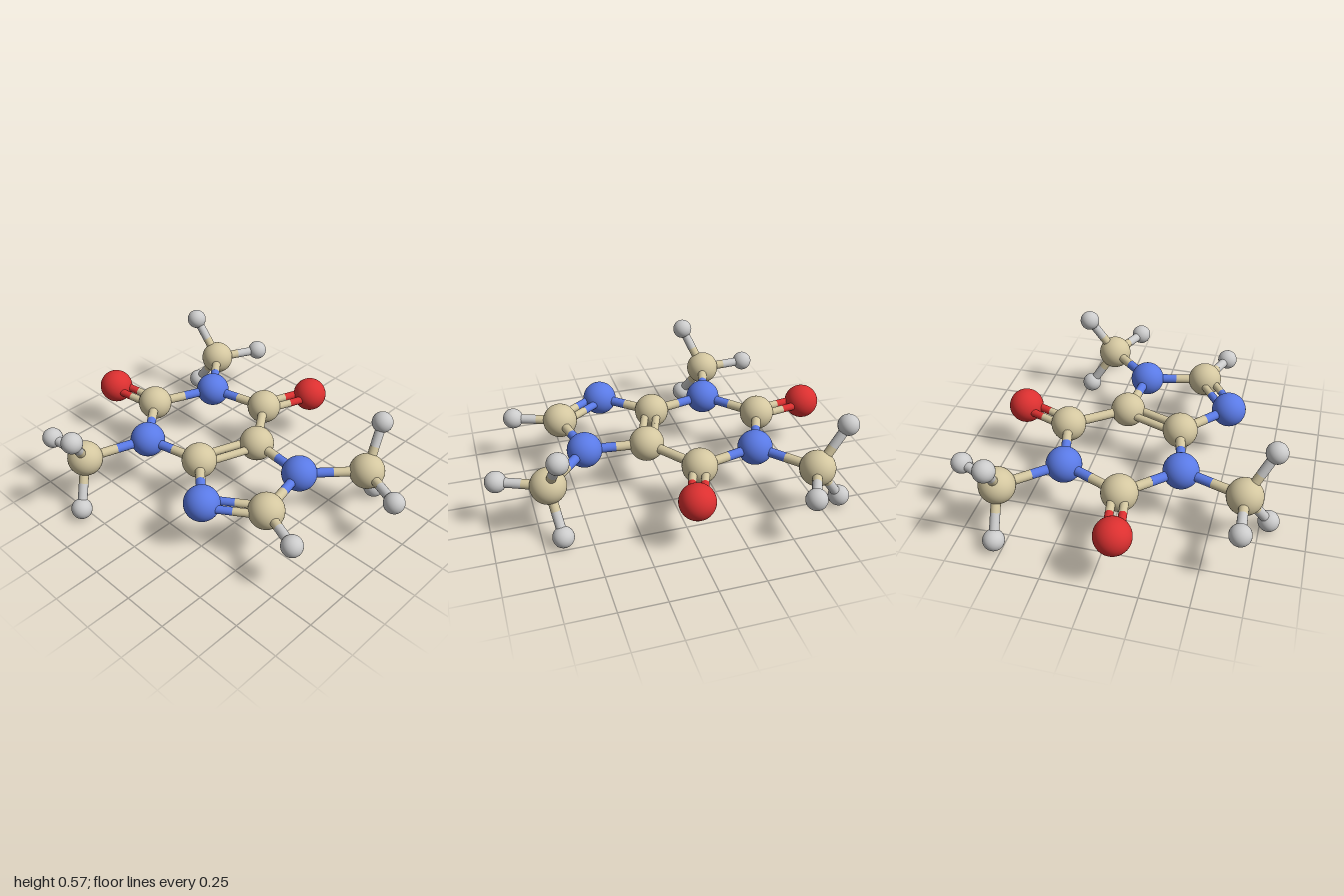
import * as THREE from 'three';

const MID = 0.285;   // height of the flat ring plane
const LIFT = 0.226;  // out-of-plane offset of the paired hydrogens

const ELEMENTS = {
  carbon: { color: 0xd4c7a0, radius: 0.096 },
  nitrogen: { color: 0x5a7ae6, radius: 0.096 },
  oxygen: { color: 0xdc3030, radius: 0.096 },
  hydrogen: { color: 0xcccccc, radius: 0.057 },
};

// name: [element, x, z, offset from the ring plane]
const ATOMS = {
  ringN1: ['nitrogen', -0.455, -0.283],
  ringC2: ['carbon', -0.6, 0.055],
  ringN3: ['nitrogen', -0.36, 0.32],
  ringC4: ['carbon', -0.02, 0.247],
  ringC5: ['carbon', 0.1, -0.08],
  ringC6: ['carbon', -0.11, -0.367],
  ringN7: ['nitrogen', 0.44, -0.047],
  ringC8: ['carbon', 0.512, 0.29],
  ringN9: ['nitrogen', 0.238, 0.477],
  oxygenSide: ['oxygen', -0.904, 0.102],
  oxygenBack: ['oxygen', 0, -0.655],
  ringHydrogen: ['hydrogen', 0.767, 0.387],
  methylBack: ['carbon', -0.695, -0.56],
  methylFront: ['carbon', -0.477, 0.668],
  methylLeft: ['carbon', 0.685, -0.315],
};

// [from, to, order]
const BONDS = [
  ['ringN1', 'ringC2', 1], ['ringC2', 'ringN3', 1], ['ringN3', 'ringC4', 1],
  ['ringC4', 'ringC5', 2], ['ringC5', 'ringC6', 1], ['ringC6', 'ringN1', 1],
  ['ringC5', 'ringN7', 1], ['ringN7', 'ringC8', 1], ['ringC8', 'ringN9', 2],
  ['ringN9', 'ringC4', 1], ['ringC2', 'oxygenSide', 2], ['ringC6', 'oxygenBack', 2],
  ['ringC8', 'ringHydrogen', 1], ['ringN1', 'methylBack', 1],
  ['ringN3', 'methylFront', 1], ['ringN7', 'methylLeft', 1],
];

// Each methyl group: one hydrogen in the plane, a mirrored pair above and below
const METHYLS = [
  ['methylBack', [-0.573, -0.805], [-0.855, -0.538]],
  ['methylFront', [-0.753, 0.684], [-0.381, 0.795]],
  ['methylLeft', [0.938, -0.206], [0.648, -0.463]],
];
for (const [name, flat, pair] of METHYLS) {
  const hydrogens = { Flat: [...flat, 0], Upper: [...pair, LIFT], Lower: [...pair, -LIFT] };
  for (const [suffix, place] of Object.entries(hydrogens)) {
    ATOMS[name + 'Hydrogen' + suffix] = ['hydrogen', ...place];
    BONDS.push([name, name + 'Hydrogen' + suffix, 1]);
  }
}

export function createModel() {
  const model = new THREE.Group();
  model.name = 'ballAndStickMolecule';
  const materials = {}, spheres = {};
  for (const [element, { color, radius }] of Object.entries(ELEMENTS)) {
    materials[element] = new THREE.MeshStandardMaterial({ color });
    spheres[element] = new THREE.SphereGeometry(radius, 40, 28);
  }
  const up = new THREE.Vector3(0, 1, 0);
  const position = ([, x, z, lift = 0]) => new THREE.Vector3(x, MID + lift, z);

  // Balls
  for (const [name, atom] of Object.entries(ATOMS)) {
    const ball = new THREE.Mesh(spheres[atom[0]], materials[atom[0]]);
    ball.name = name;
    ball.position.copy(position(atom));
    model.add(ball);
  }

  // One half stick, in the colour of the atom it starts from
  function halfStick(start, end, radius, element) {
    const dir = end.clone().sub(start);
    const stick = new THREE.Mesh(
      new THREE.CylinderGeometry(radius, radius, dir.length(), 20), materials[element]);
    stick.name = element + 'HalfBond';
    stick.position.copy(start).lerp(end, 0.5);
    stick.quaternion.setFromUnitVectors(up, dir.normalize());
    return stick;
  }

  // Sticks: double bonds are two thinner sticks side by side in the plane
  for (const [from, to, order] of BONDS) {
    const bond = new THREE.Group();
    bond.name = `${from}To${to[0].toUpperCase()}${to.slice(1)}Bond`;
    const a = position(ATOMS[from]), b = position(ATOMS[to]);
    const side = b.clone().sub(a).cross(up).normalize();
    const radius = order === 2 ? 0.022 : 0.026;
    for (const shift of order === 2 ? [-0.033, 0.033] : [0]) {
      const p = a.clone().addScaledVector(side, shift);
      const q = b.clone().addScaledVector(side, shift);
      const mid = p.clone().lerp(q, 0.5);
      bond.add(halfStick(p, mid, radius, ATOMS[from][0]), halfStick(q, mid, radius, ATOMS[to][0]));
    }
    model.add(bond);
  }
  return model;
}
